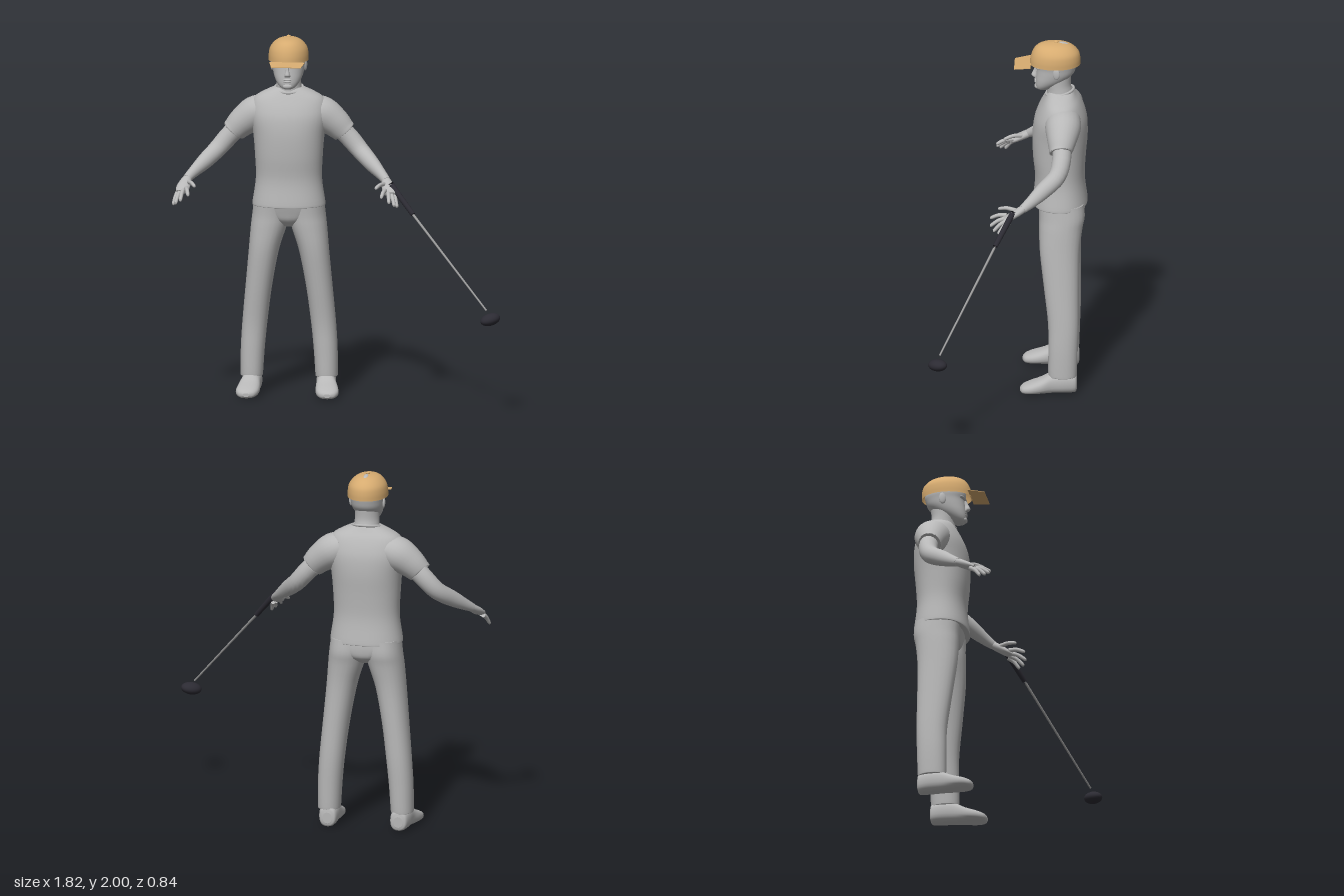
import * as THREE from 'three';

const mat = (name, color, side = THREE.FrontSide) => {
  const m = new THREE.MeshStandardMaterial({ color, side });
  m.name = name;
  return m;
};

// Smooth skin over elliptical sections [x, y, z, halfWidth, halfDepth].
// dir fixes the plane of the rings; without it they follow the path.
function loftGeometry(sections, { dir, exp = 2, n = 24, sub = 4, open = false } = {}) {
  const centres = new THREE.CatmullRomCurve3(sections.map(s => new THREE.Vector3(s[0], s[1], s[2])), false, 'catmullrom');
  const sizes = new THREE.CatmullRomCurve3(sections.map(s => new THREE.Vector3(s[3], s[4], 0)), false, 'catmullrom');
  const rows = (sections.length - 1) * sub;
  const pos = [], idx = [];
  const bend = v => Math.sign(v) * Math.pow(Math.abs(v), 2 / exp);
  for (let i = 0; i <= rows; i++) {
    const c = centres.getPoint(i / rows), r = sizes.getPoint(i / rows);
    const t = dir ? new THREE.Vector3(...dir) : centres.getTangent(i / rows);
    const a = new THREE.Vector3(1, 0, 0).addScaledVector(t, -t.x).normalize();
    const b = t.clone().cross(a);
    for (let j = 0; j < n; j++) {
      const w = j / n * Math.PI * 2;
      const p = c.clone().addScaledVector(a, r.x * bend(Math.cos(w))).addScaledVector(b, r.y * bend(Math.sin(w)));
      pos.push(p.x, p.y, p.z);
      if (i < rows) {
        const k = i * n + j, l = i * n + (j + 1) % n;
        idx.push(k, l, k + n, l, l + n, k + n);
      }
    }
  }
  // Flat end caps on their own vertices
  if (!open) for (const row of [0, rows]) {
    const start = pos.length / 3, c = centres.getPoint(row / rows);
    for (let j = 0; j < n; j++) pos.push(...pos.slice((row * n + j) * 3, (row * n + j) * 3 + 3));
    pos.push(c.x, c.y, c.z);
    for (let j = 0; j < n; j++) {
      const k = start + j, l = start + (j + 1) % n;
      if (row) idx.push(k, l, start + n); else idx.push(l, k, start + n);
    }
  }
  const g = new THREE.BufferGeometry();
  g.setAttribute('position', new THREE.Float32BufferAttribute(pos, 3));
  g.setIndex(idx);
  g.computeVertexNormals();
  return g;
}

export function createModel() {
  const grey = mat('figure grey', 0xb8b8b8);
  const tan = mat('cap tan', 0xd6ab70, THREE.DoubleSide);
  const black = mat('club black', 0x2c2b33);
  const steel = mat('shaft steel', 0x9a9a9a);

  const model = new THREE.Group();
  const figure = new THREE.Group();
  figure.name = 'figure';
  figure.position.x = -0.29;
  model.add(figure);

  const add = (name, geo, material = grey, parent = figure) => {
    const m = new THREE.Mesh(geo, material);
    m.name = name;
    parent.add(m);
    return m;
  };
  const loft = (name, sections, opts, material, parent) => add(name, loftGeometry(sections, opts), material, parent);
  const ball = (name, p, r, material, parent) => {
    const m = add(name, new THREE.SphereGeometry(1, 24, 16), material, parent);
    m.position.set(...p);
    m.scale.set(...r);
    return m;
  };
  const UP = [0, 1, 0];
  // Upright section from height, half width, back z and front z
  const ring = ([y, rx, back, front], x = 0) => [x, y, (back + front) / 2, rx, (front - back) / 2];

  // Shirt
  loft('shirt', [
    [1.055, 0.198, -0.415, -0.12], [1.07, 0.2, -0.417, -0.117], [1.2, 0.182, -0.402, -0.13],
    [1.33, 0.186, -0.408, -0.118], [1.45, 0.196, -0.418, -0.115], [1.54, 0.212, -0.415, -0.125],
    [1.6, 0.21, -0.4, -0.145], [1.65, 0.19, -0.378, -0.17], [1.685, 0.135, -0.355, -0.19], [1.71, 0.078, -0.34, -0.205],
  ].map(s => ring(s)), { dir: UP, exp: 2.25, n: 40 });
  const collar = add('collar', new THREE.TorusGeometry(0.077, 0.008, 8, 32));
  collar.position.set(0, 1.702, -0.266);
  collar.rotation.x = Math.PI / 2 + 0.22;

  // Neck and head
  loft('neck', [[1.65, 0.078, -0.345, -0.19], [1.71, 0.07, -0.333, -0.195], [1.75, 0.067, -0.325, -0.19], [1.81, 0.068, -0.33, -0.18]]
    .map(s => ring(s)), { dir: UP });
  loft('head', [
    [1.712, 0.02, -0.19, -0.15], [1.722, 0.04, -0.215, -0.136], [1.745, 0.06, -0.25, -0.132], [1.775, 0.076, -0.3, -0.133],
    [1.81, 0.086, -0.34, -0.137], [1.845, 0.091, -0.355, -0.14], [1.88, 0.095, -0.36, -0.135], [1.93, 0.085, -0.34, -0.145],
    [1.965, 0.05, -0.29, -0.18],
  ].map(s => ring(s)), { dir: UP, exp: 2.15, n: 32 });
  loft('nose', [[0, 1.785, -0.132, 0.016, 0.012], [0, 1.797, -0.127, 0.016, 0.018], [0, 1.82, -0.133, 0.009, 0.014], [0, 1.845, -0.138, 0.008, 0.008]],
    { dir: UP, n: 12 });
  ball('upperLip', [0, 1.768, -0.134], [0.024, 0.006, 0.009]);
  ball('lowerLip', [0, 1.757, -0.135], [0.021, 0.006, 0.009]);
  ball('chin', [0, 1.731, -0.14], [0.026, 0.015, 0.014]);
  ball('brow', [0, 1.853, -0.15], [0.062, 0.01, 0.02]);

  // Cap
  loft('capCrown', [
    [1.865, 0.11, -0.378, -0.1], [1.9, 0.109, -0.378, -0.104], [1.935, 0.101, -0.37, -0.115],
    [1.965, 0.078, -0.343, -0.135], [1.983, 0.048, -0.305, -0.17], [1.992, 0.004, -0.245, -0.235],
  ].map(s => ring(s)), { dir: UP, n: 32, open: true }, tan);
  const brimGeo = new THREE.BoxGeometry(0.196, 0.003, 0.092);
  const bp = brimGeo.attributes.position;
  for (let i = 0; i < bp.count; i++) if (bp.getZ(i) > 0) bp.setX(i, bp.getX(i) * 0.83);
  const brim = add('capBrim', brimGeo, tan);
  brim.position.set(0, 1.864, -0.062);
  brim.rotation.x = 0.15;
  ball('capButton', [0, 1.993, -0.245], [0.013, 0.007, 0.013], tan);
  const patch = ball('crownOpening', [0, 1.983, -0.288], [0.013, 0.007, 0.028]);
  patch.rotation.x = -0.25;

  // Trouser seat
  loft('trouserSeat', [[0.94, 0.05, -0.34, -0.21], [0.975, 0.12, -0.39, -0.17], [1.02, 0.185, -0.402, -0.155], [1.08, 0.188, -0.4, -0.14]]
    .map(s => ring(s)), { dir: UP, exp: 2.3, n: 32 });

  for (const s of [1, -1]) {
    const side = s > 0 ? 'left' : 'right';
    const limb = (name, pts, opts) => loft(side + name, pts.map(([x, ...rest]) => [s * x, ...rest]), opts);

    // Legs and shoes
    limb('TrouserLeg', [
      ring([0.1, 0.06, -0.362, -0.212], 0.205), ring([0.115, 0.062, -0.365, -0.208], 0.205), ring([0.25, 0.066, -0.37, -0.208], 0.2),
      ring([0.4, 0.069, -0.375, -0.206], 0.188), ring([0.6, 0.073, -0.375, -0.183], 0.166), ring([0.8, 0.083, -0.378, -0.16], 0.138),
      ring([0.93, 0.098, -0.392, -0.155], 0.112), ring([1.0, 0.1, -0.405, -0.155], 0.102), ring([1.075, 0.095, -0.4, -0.15], 0.098),
    ], { dir: UP, exp: 2.2 });
    limb('Shoe', [
      [0.2, 0.055, -0.366, 0.025, 0.03], [0.2, 0.06, -0.355, 0.046, 0.055], [0.203, 0.064, -0.3, 0.054, 0.062],
      [0.207, 0.06, -0.23, 0.054, 0.058], [0.214, 0.045, -0.17, 0.062, 0.043], [0.22, 0.034, -0.11, 0.062, 0.032],
      [0.222, 0.027, -0.07, 0.045, 0.022], [0.223, 0.025, -0.055, 0.018, 0.01],
    ], { dir: [0, 0, 1], exp: 2.4 });

    // Sleeve and arm
    limb('Sleeve', [
      [0.12, 1.58, -0.288, 0.085, 0.095], [0.185, 1.555, -0.288, 0.095, 0.098], [0.25, 1.51, -0.284, 0.083, 0.082],
      [0.295, 1.468, -0.28, 0.07, 0.066], [0.303, 1.46, -0.28, 0.067, 0.062],
    ], {});
    limb('Arm', [
      [0.26, 1.5, -0.285, 0.052, 0.052], [0.33, 1.427, -0.285, 0.053, 0.052], [0.395, 1.355, -0.262, 0.049, 0.049],
      [0.46, 1.298, -0.19, 0.042, 0.045], [0.515, 1.252, -0.125, 0.03, 0.033], [0.548, 1.223, -0.08, 0.024, 0.024],
    ], { n: 20 });

    // Hand: palm, four fingers and thumb
    limb('Palm', [[0.545, 1.226, -0.085, 0.024, 0.022], [0.557, 1.203, -0.045, 0.034, 0.021],
      [0.567, 1.182, -0.008, 0.037, 0.018], [0.572, 1.168, 0.02, 0.03, 0.012]], { n: 16 });
    const fingers = {
      Index: [[0.546, 1.185, 0.008], [0.53, 1.162, 0.1]],
      Middle: [[0.563, 1.175, 0.01], [0.573, 1.132, 0.1]],
      Ring: [[0.579, 1.167, 0.005], [0.601, 1.112, 0.082]],
      Pinky: [[0.593, 1.162, -0.005], [0.615, 1.102, 0.055]],
      Thumb: [[0.54, 1.21, -0.045], [0.496, 1.205, 0.057]],
    };
    for (const [name, [a, b]] of Object.entries(fingers)) {
      const mid = a.map((v, i) => (v + b[i]) / 2 + (i === 1 ? 0.008 : 0));
      const near = a.map((v, i) => v * 0.08 + b[i] * 0.92);
      limb(name + 'Finger', [[...a, 0.013, 0.013], [...mid, 0.011, 0.011], [...near, 0.009, 0.009], [...b, 0.003, 0.003]], { n: 10 });
    }

    // Ear
    const ear = ball(side + 'Ear', [s * 0.091, 1.835, -0.248], [0.009, 0.033, 0.02]);
    ear.rotation.y = s * -0.3;
  }

  // Golf club
  const club = new THREE.Group();
  club.name = 'club';
  model.add(club);
  loft('grip', [[0.285, 1.215, -0.028, 0.017, 0.017], [0.413, 1.065, 0.067, 0.014, 0.014]], { n: 14 }, black, club);
  loft('shaft', [[0.405, 1.074, 0.061, 0.007, 0.007], [0.835, 0.588, 0.358, 0.005, 0.005]], { n: 10 }, steel, club);
  const clubHead = ball('clubHead', [0.857, 0.54, 0.368], [0.06, 0.033, 0.046], black, club);
  clubHead.rotation.set(-0.15, 0.7, 0.28);
  return model;
}
